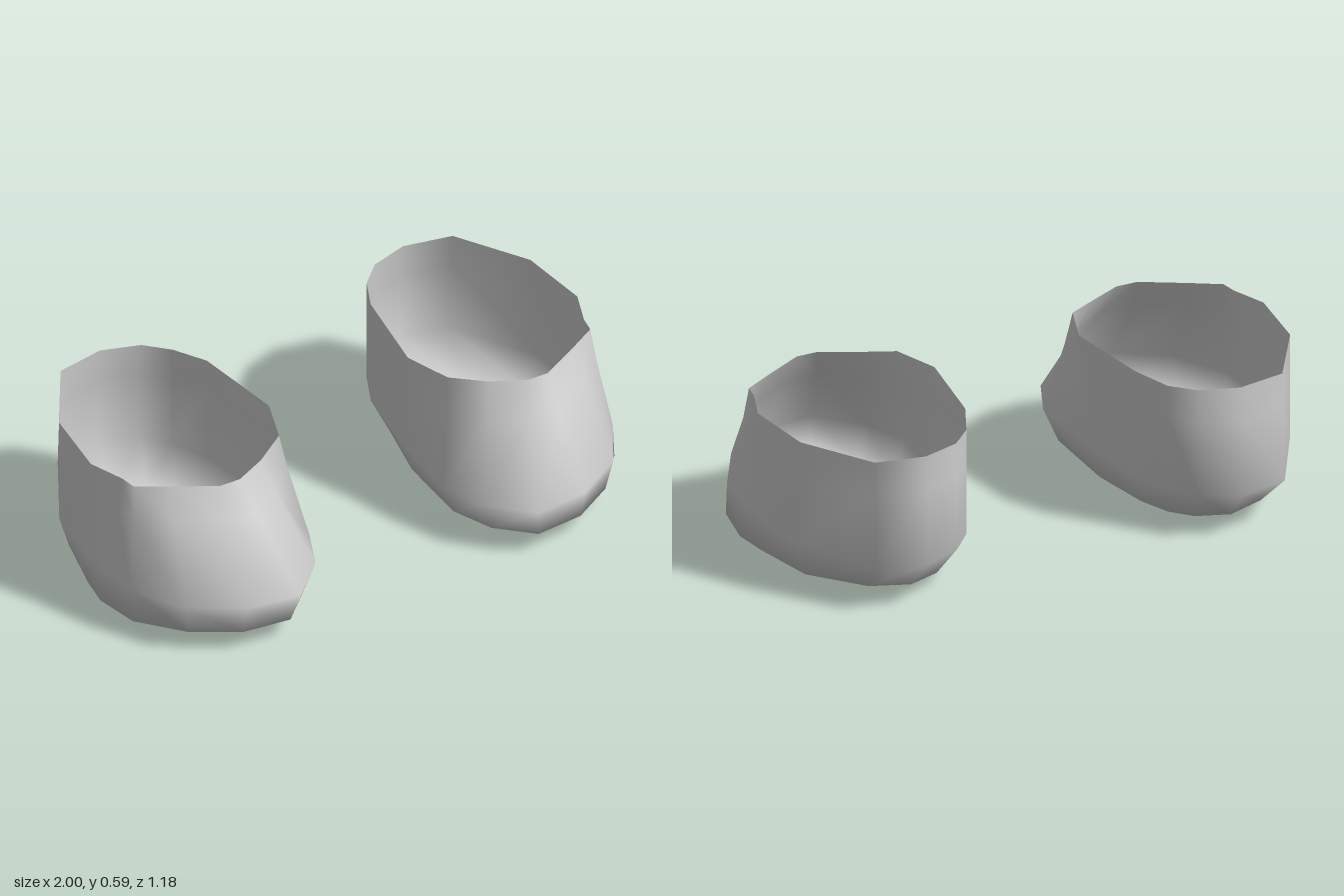
import * as THREE from 'three';

const grey = new THREE.MeshStandardMaterial({ color: 0xcccccc, side: THREE.DoubleSide });
grey.name = 'light grey';

// Left shoe outlines as [x, z], from the toe round the outer side and heel
const sole = [[.5, .55], [.68, .53], [.84, .43], [.97, .27], [1, .1], [.98, -.02], [.92, -.25], [.76, -.42],
  [.62, -.47], [.5, -.43], [.43, -.36], [.38, -.25], [.33, -.03], [.32, .27], [.38, .43]];
const wide = [[.48, .59], [.68, .565], [.86, .45], [.97, .26], [.985, .12], [.99, 0], [.96, -.25], [.79, -.55],
  [.61, -.59], [.47, -.53], [.39, -.44], [.33, -.31], [.29, -.05], [.27, .29], [.34, .45]];
const rim = [[.58, .34], [.66, .34], [.82, .25], [.92, .19], [.93, .13], [.98, 0], [.95, -.27], [.79, -.53],
  [.61, -.565], [.47, -.52], [.39, -.44], [.33, -.31], [.28, .03], [.34, .2], [.46, .28]];

function shoe(side, name) {
  const n = rim.length;
  const rings = [
    sole.map(([x, z]) => [x, 0.058 + 0.034 * z, z]),
    wide.map(([x, z]) => [x, 0.185 + 0.025 * z, z]),
    [],
    rim.map(([x, z], i) => [x, i >= 11 && i <= 13 ? 0.588 : 0.576, z]),
  ];
  // Instep ring, slightly hollowed at the toe
  rings[2] = rings[1].map((p, i) => p.map((v, k) => v + (rings[3][i][k] - v) * (k === 1 ? 0.69 : 0.74)));

  const points = rings.flat().concat([[0.63, 0, 0.15]]);
  const index = [];
  const face = (a, b, c) => (side > 0 ? index.push(a, b, c) : index.push(a, c, b));
  for (let i = 0; i < n; i++) {
    const j = (i + 1) % n;
    // Walls
    for (let r = 0; r < rings.length - 1; r++) {
      const a = r * n + i, b = r * n + j;
      face(a, b, b + n);
      face(a, b + n, a + n);
    }
    // Shallow pointed underside
    face(j, i, points.length - 1);
  }
  const geometry = new THREE.BufferGeometry();
  geometry.setAttribute('position', new THREE.Float32BufferAttribute(
    points.flatMap(([x, y, z]) => [side * x, y, z]), 3));
  geometry.setIndex(index);
  geometry.computeVertexNormals();
  const mesh = new THREE.Mesh(geometry, grey);
  mesh.name = name;
  return mesh;
}

export function createModel() {
  const group = new THREE.Group();
  group.name = 'shoes';
  group.add(shoe(1, 'leftShoe'), shoe(-1, 'rightShoe'));
  return group;
}
